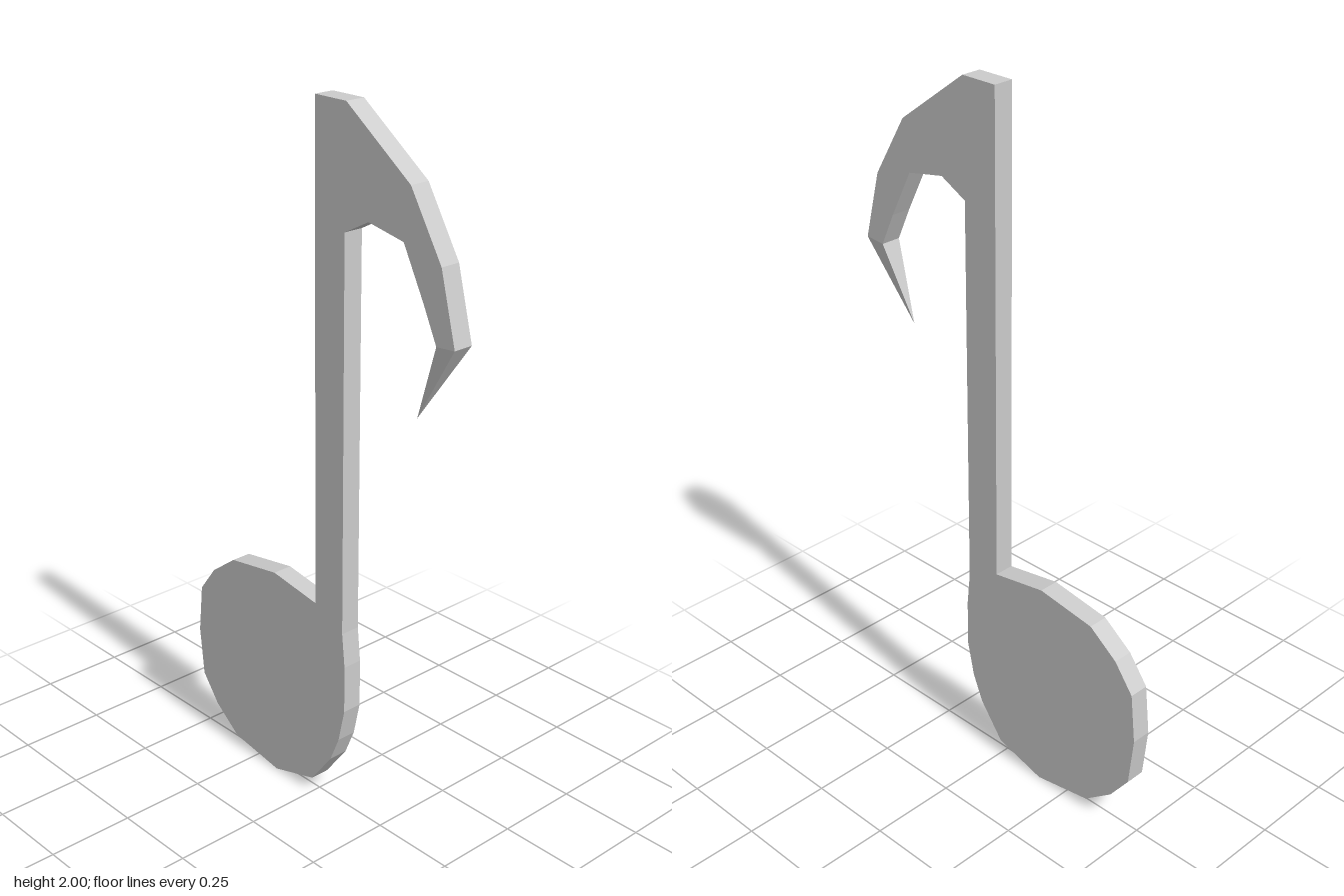
import * as THREE from 'three';

const DEPTH = 0.058;
const TIP = [0.355, 1.255];

// Outline sections, clockwise from the top of the stem
const stemTop = [[0.015, 2], [0.125, 2]];
const flagOuter = [[0.345, 1.84], [0.45, 1.667], [0.5, 1.475]];
const flagInner = [[0.44, 1.47], [0.395, 1.565], [0.325, 1.7], [0.205, 1.723]];
const stemRight = [[0.122, 1.68], [0.122, 0.565]];
const head = [
  [0.132, 0.465], [0.132, 0.325], [0.11, 0.225], [0.077, 0.147], [0, 0.045],
  [-0.155, 0], [-0.335, 0.03], [-0.425, 0.1], [-0.485, 0.18], [-0.5, 0.325],
  [-0.485, 0.47], [-0.425, 0.55], [-0.335, 0.617], [-0.155, 0.645], [0.015, 0.617],
];

// Pinches the flag's end to a single point and drops the triangles that collapse
function sharpenTip(geometry) {
  const pos = geometry.attributes.position;
  const kept = [];
  const tri = new THREE.Triangle();
  for (let i = 0; i < pos.count; i++) {
    if (Math.hypot(pos.getX(i) - TIP[0], pos.getY(i) - TIP[1]) < 1e-4) pos.setZ(i, 0);
  }
  for (let i = 0; i < pos.count; i += 3) {
    tri.setFromAttributeAndIndices(pos, i, i + 1, i + 2);
    if (tri.getArea() > 1e-7) kept.push(...tri.a, ...tri.b, ...tri.c);
  }
  const result = new THREE.BufferGeometry();
  result.setAttribute('position', new THREE.Float32BufferAttribute(kept, 3));
  result.computeVertexNormals();
  return result;
}

export function createModel() {
  const group = new THREE.Group();
  group.name = 'musicalNote';

  // Head, stem and flag are one continuous flat plate
  const outline = [...stemTop, ...flagOuter, TIP, ...flagInner, ...stemRight, ...head];
  const shape = new THREE.Shape(outline.map(([x, y]) => new THREE.Vector2(x, y)));
  const plate = new THREE.ExtrudeGeometry(shape, { depth: DEPTH, bevelEnabled: false });
  plate.translate(0, 0, -DEPTH / 2);

  const material = new THREE.MeshStandardMaterial({ color: 0xcccccc, flatShading: true });
  const note = new THREE.Mesh(sharpenTip(plate), material);
  note.name = 'noteHeadStemAndFlag';
  group.add(note);
  return group;
}
